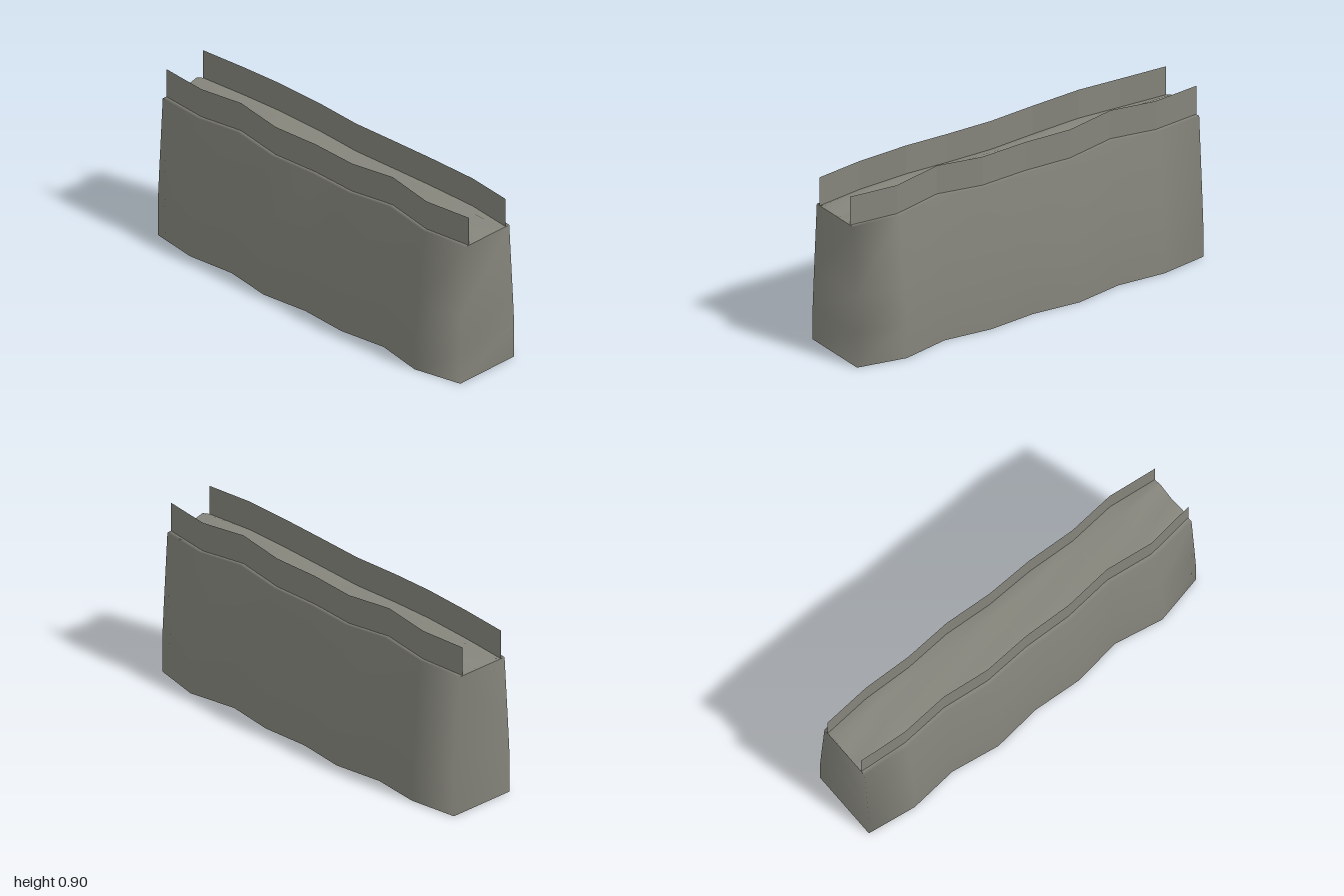
import * as THREE from 'three';

// Half depth of the wall foot at nine stations from x = -1 to x = 1
const HALF = [0.181, 0.217, 0.193, 0.232, 0.204, 0.22, 0.187, 0.235, 0.181];
const END = 0.181;
const stationX = (i) => -1 + i * 0.25;
// The crest rises slightly at x = -0.5 and x = 0.5
const crest = (i) => (i === 2 || i === 6 ? 0.75 : 0.73);
// Depth at some height: end depth plus a softened share of the waviness
const depth = (i, end, share) => end + (HALF[i] - END) * share;
const parapetZ = (i) => depth(i, 0.124, 0.55);

function makeGeometry(points, index) {
  const g = new THREE.BufferGeometry();
  g.setAttribute('position', new THREE.Float32BufferAttribute(points, 3));
  g.setIndex(index);
  return g;
}

// Cross-section from the front foot, over the walkway, to the back foot
function section(i) {
  const y = crest(i);
  const side = [
    [0, HALF[i]],
    [0.18, HALF[i]],
    [0.36, depth(i, 0.171, 0.77)],
    [y, depth(i, 0.148, 0.52)],
    [y, parapetZ(i)],
    [0.75, 0.08],
  ];
  const back = side.map(([h, z]) => [h, -z]).reverse();
  return [...side, [y, 0], ...back];
}

function wallGeometry() {
  const points = [], index = [];
  const n = 13, last = HALF.length - 1;
  HALF.forEach((_, i) => section(i).forEach(([y, z]) => points.push(stationX(i), y, z)));
  const quad = (a, b, c, d) => index.push(a, b, c, a, c, d);

  // Long sides and walkway
  for (let i = 0; i < last; i++) {
    for (let j = 0; j < n - 1; j++) {
      const a = i * n + j;
      quad(a, a + n, a + n + 1, a + 1);
    }
  }
  // Ends, sharing corners with the sides so the shading flows round
  for (const i of [0, last]) {
    const v = (j) => i * n + j;
    const tri = (a, b, c) => (i ? index.push(v(a), v(b), v(c)) : index.push(v(a), v(c), v(b)));
    for (let k = 0; k < 3; k++) {
      const m = n - 1 - k;
      tri(k, m, m - 1);
      tri(k, m - 1, k + 1);
    }
    tri(4, 6, 5);
    tri(6, 8, 7);
  }
  const g = makeGeometry(points, index);
  g.computeVertexNormals();
  return g;
}

// Thin upright strip following the crest; side is 1 for front, -1 for back
function parapetGeometry(side) {
  const points = [], index = [];
  HALF.forEach((_, i) => {
    const x = stationX(i), z = side * parapetZ(i);
    points.push(x, crest(i), z, x, crest(i) + 0.15, z);
  });
  for (let i = 0; i < HALF.length - 1; i++) {
    const a = i * 2;
    if (side > 0) index.push(a, a + 2, a + 3, a, a + 3, a + 1);
    else index.push(a, a + 3, a + 2, a, a + 1, a + 3);
  }
  const g = makeGeometry(points, index).toNonIndexed();
  g.computeVertexNormals();
  return g;
}

export function createModel() {
  const group = new THREE.Group();
  group.name = 'wallSegment';
  const stone = new THREE.MeshStandardMaterial({ color: 0x85857c, side: THREE.DoubleSide });
  stone.name = 'grey stone';

  const add = (name, geometry) => {
    const mesh = new THREE.Mesh(geometry, stone);
    mesh.name = name;
    group.add(mesh);
  };
  add('wallBody', wallGeometry());
  add('frontParapet', parapetGeometry(1));
  add('backParapet', parapetGeometry(-1));
  return group;
}
